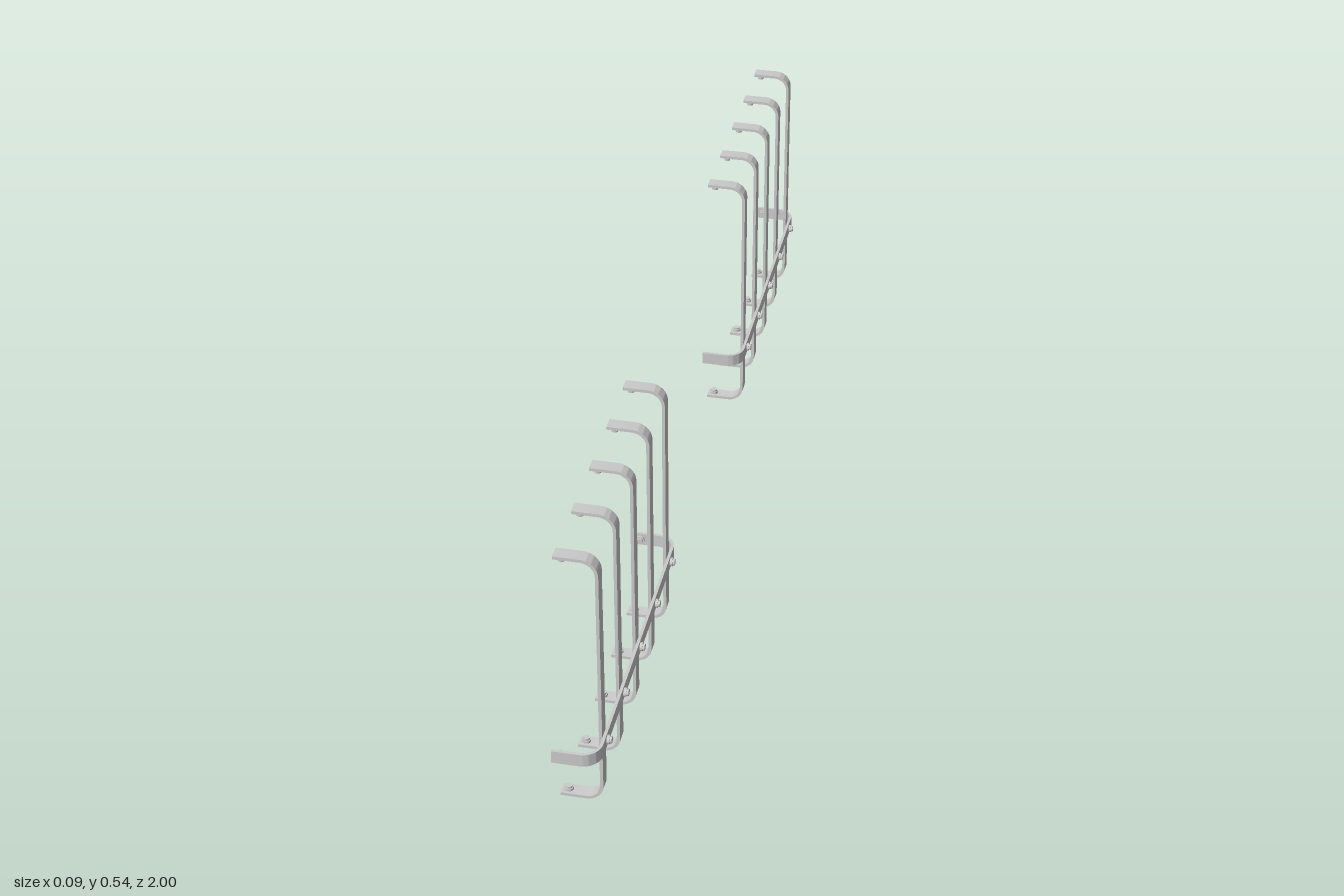
import * as THREE from 'three';
import { toCreasedNormals } from 'three/addons/utils/BufferGeometryUtils.js';

const material = new THREE.MeshStandardMaterial({ color: 0xcccccc });
const END = -0.048, T = 0.006, WIDTH = 0.026, HEIGHT = 0.535;
const BAR_X = 0.032, BAND_X = 0.038, BAND_Y = 0.135, BOLT_X = -0.035;
const RACK_Z = 0.667, BAND_HALF = 0.333, SPACING = 0.1335;

// Flat strip bent into a C that opens towards -x, centred on its width
function bentStrip(half, face, radius) {
  const s = new THREE.Shape();
  const c = face - radius, h = half - radius, r = radius - T;
  s.moveTo(END, -half);
  s.lineTo(c, -half);
  s.absarc(c, -h, radius, -Math.PI / 2, 0, false);
  s.absarc(c, h, radius, 0, Math.PI / 2, false);
  s.lineTo(END, half);
  s.lineTo(END, half - T);
  s.absarc(c, h, r, Math.PI / 2, 0, true);
  s.absarc(c, -h, r, 0, -Math.PI / 2, true);
  s.lineTo(END, -half + T);
  s.closePath();
  const g = new THREE.ExtrudeGeometry(s, { depth: WIDTH, bevelEnabled: false, curveSegments: 10 });
  g.translate(0, 0, -WIDTH / 2);
  return toCreasedNormals(g, 0.6);
}

// Bolt head standing on y = 0: a wide collar and a smaller cap
function boltGeometry() {
  const points = [[0, 0], [0.0085, 0], [0.0085, 0.005], [0.0065, 0.005], [0.0065, 0.009], [0, 0.009]];
  const g = new THREE.LatheGeometry(points.map(([x, y]) => new THREE.Vector2(x, y)), 16);
  return toCreasedNormals(g, 0.6);
}

export function createModel() {
  const model = new THREE.Group();
  const barGeo = bentStrip(HEIGHT / 2, BAR_X, 0.033);
  const bandGeo = bentStrip(BAND_HALF, BAND_X, 0.036).rotateX(-Math.PI / 2);
  const boltGeo = boltGeometry();
  const up = new THREE.Vector3(0, 1, 0);

  const add = (parent, geo, name, x, y, z) => {
    const mesh = new THREE.Mesh(geo, material);
    mesh.name = name;
    mesh.position.set(x, y, z);
    parent.add(mesh);
    return mesh;
  };
  const addBolt = (parent, name, x, y, z, dx, dy, dz) =>
    add(parent, boltGeo, name, x, y, z).quaternion.setFromUnitVectors(up, new THREE.Vector3(dx, dy, dz));

  for (const side of [1, -1]) {
    const rack = new THREE.Group();
    rack.name = side > 0 ? 'frontRack' : 'backRack';
    rack.position.z = side * RACK_Z;
    model.add(rack);

    // Upright bars with bolts inside both ends and one through the band
    for (let i = -2; i <= 2; i++) {
      const z = i * SPACING;
      add(rack, barGeo, 'uprightBar', 0, HEIGHT / 2, z);
      addBolt(rack, 'lowerBolt', BOLT_X, T, z, 0, 1, 0);
      addBolt(rack, 'upperBolt', BOLT_X, HEIGHT - T, z, 0, -1, 0);
      addBolt(rack, 'bandBolt', BAND_X, BAND_Y, z, 1, 0, 0);
    }

    // Horizontal band wrapping the bars, bolted inside its ends
    add(rack, bandGeo, 'crossBand', 0, BAND_Y, 0);
    for (const e of [1, -1]) {
      addBolt(rack, 'bandEndBolt', BOLT_X, BAND_Y, e * (BAND_HALF - T), 0, 0, -e);
    }
  }
  return model;
}
